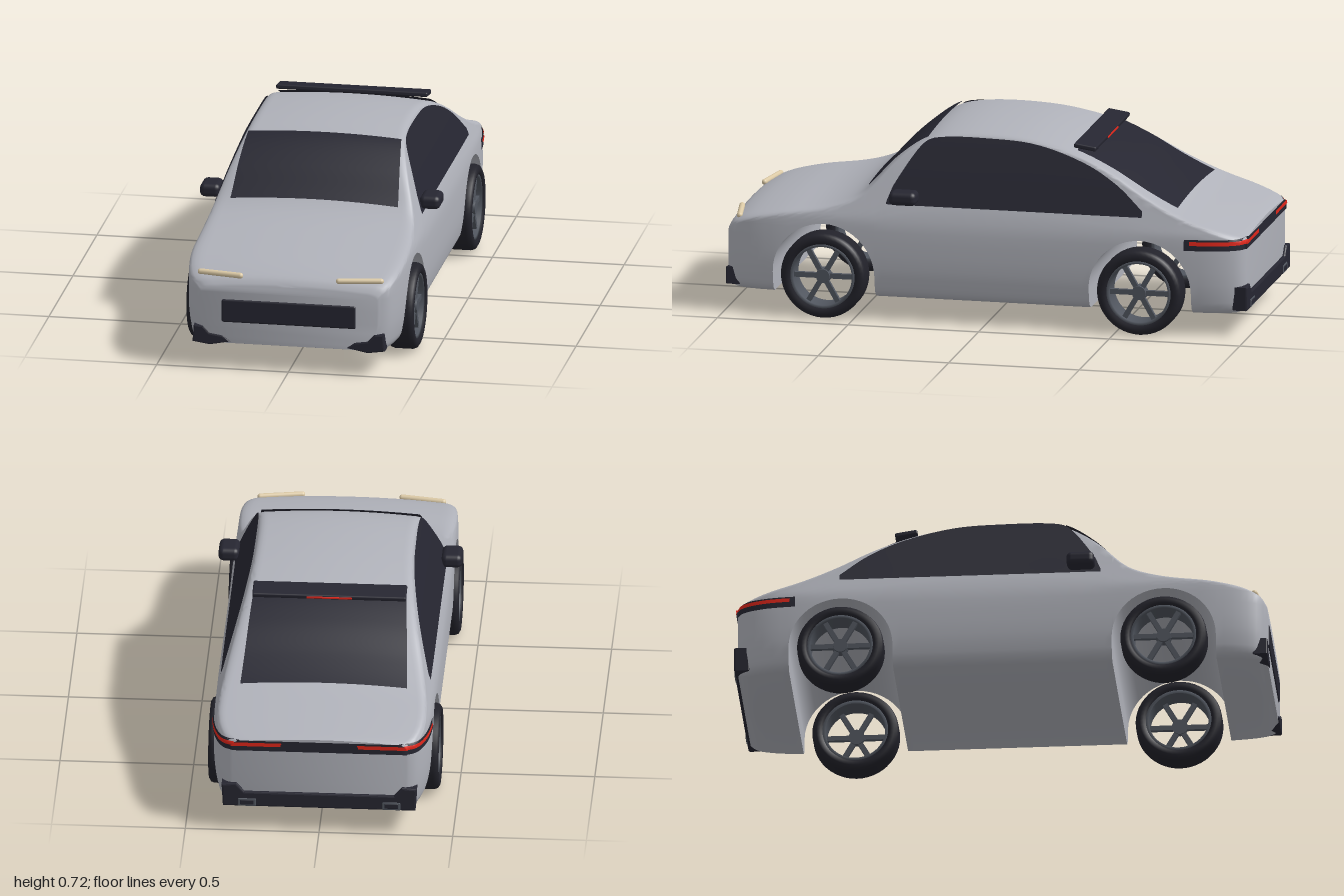
import * as THREE from 'three';
import { toCreasedNormals } from 'three/addons/utils/BufferGeometryUtils.js';
import { RoundedBoxGeometry } from 'three/addons/geometries/RoundedBoxGeometry.js';
import { ParametricGeometry } from 'three/addons/geometries/ParametricGeometry.js';

const material = (name, color) => {
  const m = new THREE.MeshStandardMaterial({ color, side: THREE.DoubleSide });
  m.name = name;
  return m;
};

// Smooth curve y(x) through a few sorted points
function spline(pts) {
  const n = pts.length;
  const slope = pts.map((p, i) => {
    const a = pts[Math.max(i - 1, 0)], b = pts[Math.min(i + 1, n - 1)];
    return (b[1] - a[1]) / (b[0] - a[0]);
  });
  return (x) => {
    x = Math.min(Math.max(x, pts[0][0]), pts[n - 1][0]);
    let i = 0;
    while (i < n - 2 && x > pts[i + 1][0]) i++;
    const [x0, y0] = pts[i], [x1, y1] = pts[i + 1], h = x1 - x0, t = (x - x0) / h;
    const t2 = t * t, t3 = t2 * t;
    return y0 * (2 * t3 - 3 * t2 + 1) + y1 * (3 * t2 - 2 * t3)
      + h * (slope[i] * (t3 - 2 * t2 + t) + slope[i + 1] * (t3 - t2));
  };
}

// Body rules: roof line, plan width, side taper, top corner size and floor along z
const REAR = -0.985, NOSE = 0.995, CROWN = 0.012;
const roof = spline([[-0.985, 0.383], [-0.97, 0.39], [-0.875, 0.422], [-0.74, 0.468], [-0.61, 0.53], [-0.475, 0.607],
  [-0.34, 0.666], [-0.18, 0.706], [-0.02, 0.72], [0.14, 0.715], [0.25, 0.688], [0.36, 0.61], [0.46, 0.505],
  [0.52, 0.468], [0.625, 0.437], [0.785, 0.413], [0.9, 0.388], [0.96, 0.365], [0.98, 0.352], [0.995, 0.33]]);
const plan = spline([[-0.985, 0.325], [-0.97, 0.352], [-0.93, 0.378], [-0.85, 0.4], [-0.7, 0.41], [0, 0.412],
  [0.75, 0.411], [0.86, 0.403], [0.93, 0.388], [0.97, 0.368], [0.995, 0.335]]);
const taper = spline([[0.085, 0.89], [0.1, 0.945], [0.13, 0.972], [0.2, 0.996], [0.3, 1], [0.38, 0.99],
  [0.42, 0.96], [0.45, 0.934], [0.57, 0.83], [0.69, 0.715], [0.72, 0.68]]);
const cornerX = spline([[-1, 0.03], [-0.6, 0.04], [0.3, 0.04], [0.7, 0.06], [1, 0.06]]);
const floorY = spline([[-0.985, 0.1], [-0.94, 0.085], [0.94, 0.085], [0.995, 0.1]]);
const CORNER_Y = 0.032;
const sideX = (y, z) => plan(z) * taper(y);
function skinX(y, z) {
  const y0 = roof(z) - CORNER_Y;
  if (y <= y0) return sideX(y, z);
  const s = Math.min((y - y0) / (CORNER_Y - CROWN), 1);
  return sideX(y0, z) - cornerX(z) * (1 - Math.sqrt(1 - s * s));
}

const WHEEL_Z = [-0.595, 0.615], ARCH_R = 0.195, ARCH_Y = 0.165;

// Half outline of the body at one station, bottom centre to top centre
function halfRing(z, bottom) {
  const top = roof(z), yt = top - CORNER_Y, pts = [[0, bottom]];
  const clamp = (y) => Math.min(Math.max(y, bottom), yt);
  for (const k of [0.085, 0.092, 0.1, 0.115, 0.13, 0.165, 0.2, 0.25, 0.3]) pts.push([sideX(clamp(k), z), clamp(k)]);
  const y0 = clamp(0.34);
  for (let i = 0; i <= 7; i++) {
    const y = y0 + (yt - y0) * i / 7;
    pts.push([sideX(y, z), y]);
  }
  const x0 = sideX(yt, z), rx = cornerX(z);
  for (let i = 1; i <= 5; i++) {
    const a = i * Math.PI / 10;
    pts.push([x0 - rx * (1 - Math.cos(a)), yt + (CORNER_Y - CROWN) * Math.sin(a)]);
  }
  for (let i = 5; i >= 0; i--) pts.push([(x0 - rx) * i / 6, top - CROWN * (i / 6) ** 2]);
  return pts;
}

// Loft with the two wheel arches cut straight through
function bodyGeometry() {
  const stations = [];
  const plain = (z) => stations.push([z, floorY(z)]);
  const span = (a, b, n) => { for (let i = 0; i <= n; i++) plain(a + (b - a) * i / n); };
  const arch = (c) => {
    for (let i = 0; i <= 24; i++) {
      const a = i * Math.PI / 24;
      stations.push([c - ARCH_R * Math.cos(a), ARCH_Y + ARCH_R * Math.sin(a)]);
    }
  };
  [REAR, -0.98, -0.973, -0.96, -0.945, -0.92, -0.89, -0.85, -0.82].forEach(plain);
  plain(WHEEL_Z[0] - ARCH_R);
  arch(WHEEL_Z[0]);
  span(WHEEL_Z[0] + ARCH_R, WHEEL_Z[1] - ARCH_R, 32);
  arch(WHEEL_Z[1]);
  plain(WHEEL_Z[1] + ARCH_R);
  [0.84, 0.87, 0.9, 0.925, 0.945, 0.96, 0.973, 0.983, 0.99, NOSE].forEach(plain);

  const pos = [], index = [];
  let n = 0, m = 0;
  for (const [z, b] of stations) {
    const half = halfRing(z, b);
    n = half.length - 1;
    m = 2 * n;
    for (const [x, y] of half) pos.push(x, y, z);
    for (let i = n - 1; i > 0; i--) pos.push(-half[i][0], half[i][1], z);
  }
  for (let j = 0; j < stations.length - 1; j++) for (let i = 0; i < m; i++) {
    const a = j * m + i, b = j * m + (i + 1) % m, c = b + m, d = a + m;
    index.push(a, b, d, b, c, d);
  }
  const last = (stations.length - 1) * m;
  for (let i = 0; i < n; i++) {
    const a = i, b = i + 1, c = (m - i - 1) % m, d = (m - i) % m;
    index.push(last + a, last + b, last + c, last + a, last + c, last + d, a, c, b, a, d, c);
  }
  const g = new THREE.BufferGeometry();
  g.setAttribute('position', new THREE.Float32BufferAttribute(pos, 3));
  g.setIndex(index);
  return toCreasedNormals(g, 0.75);
}

export function createModel() {
  const car = new THREE.Group();
  car.name = 'car';
  const paint = material('silver paint', 0xb0b2ba);
  const black = material('black trim and glass', 0x262631);
  const rubber = material('tyre rubber', 0x22222a);
  const metal = material('wheel metal', 0x50555e);
  const lamp = material('headlight cream', 0xdccaa6);
  const red = material('tail light red', 0xe0261a);
  const add = (name, geometry, mat, parent = car) => {
    const mesh = new THREE.Mesh(geometry, mat);
    mesh.name = name;
    parent.add(mesh);
    return mesh;
  };
  const patch = (name, mat, nu, nv, fn) =>
    add(name, new ParametricGeometry((u, v, p) => p.set(...fn(u, v)), nu, nv), mat);
  const box = (name, mat, w, h, d, x, y, z, r = 0.01) => {
    const mesh = add(name, new RoundedBoxGeometry(w, h, d, 3, r), mat);
    mesh.position.set(x, y, z);
    return mesh;
  };
  const slab = (name, pts, z, depth) => {
    const shape = new THREE.Shape(pts.map((p) => new THREE.Vector2(...p)));
    const b = 0.006;
    add(name, new THREE.ExtrudeGeometry(shape, { depth: depth - 2 * b, bevelSize: b, bevelThickness: b, bevelOffset: -b, bevelSegments: 2 }), black)
      .position.z = z + b;
  };

  add('body', bodyGeometry(), paint);

  // Windscreen and rear window follow the roof line
  const screen = (name, z0, w0, z1, w1) => patch(name, black, 16, 20, (u, v) => {
    const z = z0 + (z1 - z0) * v, x = (w0 + (w1 - w0) * v) * (2 * u - 1);
    return [x, roof(z) - CROWN * (x / 0.3) ** 2 + 0.007, z];
  });
  screen('windscreen', 0.465, 0.318, 0.24, 0.29);
  screen('rearWindow', -0.72, 0.312, -0.33, 0.285);

  // Side windows, mirrors, lights and front corner trims on both sides
  const windowTop = spline([[-0.6, 0.468], [-0.5, 0.553], [-0.37, 0.625], [-0.18, 0.682], [0, 0.695], [0.2, 0.69],
    [0.26, 0.66], [0.365, 0.497], [0.378, 0.455]]);
  for (const s of [1, -1]) {
    const side = s > 0 ? 'left' : 'right';
    patch(side + 'SideWindow', black, 48, 10, (u, v) => {
      const z = -0.6 + 0.978 * u, y = 0.445 + (windowTop(z) - 0.445) * v;
      return [s * (sideX(y, z) + 0.007), y, z];
    });
    box(side + 'Mirror', black, 0.078, 0.052, 0.105, s * 0.417, 0.48, 0.305, 0.02);
    const a = new THREE.Vector3(s * 0.187, 0.36, 0.976), b = new THREE.Vector3(s * 0.342, 0.36, 0.95);
    const light = add(side + 'Headlight', new THREE.CapsuleGeometry(0.011, a.distanceTo(b), 6, 12), lamp);
    light.position.copy(a).lerp(b, 0.5);
    light.quaternion.setFromUnitVectors(new THREE.Vector3(0, 1, 0), b.clone().sub(a).normalize());
    slab(side + 'FrontCornerTrim', [[0.22, 0.106], [0.25, 0.128], [0.3, 0.136], [0.325, 0.163], [0.36, 0.165],
      [0.365, 0.1], [0.3, 0.09]].map(([x, y]) => [s * x, y]), 0.942, 0.058);
    box(side + 'ExhaustFrame', metal, 0.07, 0.034, 0.02, s * 0.27, 0.118, -0.989, 0.005);
    box(side + 'ExhaustOutlet', black, 0.052, 0.02, 0.008, s * 0.27, 0.118, -0.9965, 0.003);
  }

  box('grille', black, 0.51, 0.09, 0.02, 0, 0.226, 0.99, 0.008);

  // Rear bumper with taller ends
  slab('rearBumper', [[-0.36, 0.1], [0.36, 0.1], [0.365, 0.19], [0.31, 0.195], [0.28, 0.16],
    [-0.28, 0.16], [-0.31, 0.195], [-0.365, 0.19]], -0.997, 0.058);

  // Roof spoiler with brake light
  box('spoiler', black, 0.575, 0.018, 0.085, 0, 0.677, -0.358, 0.006).rotation.x = -0.15;
  box('brakeLight', red, 0.17, 0.008, 0.006, 0, 0.671, -0.4, 0.002);

  // Tail light bands wrapping around the rear corners
  const band = (name, mat, y0, y1, offset, u0, u1, zEnd) => patch(name, mat, 60, 3, (u, v) => {
    const w = u0 + (u1 - u0) * u, t = Math.abs(w), s = Math.sign(w), y = y0 + (y1 - y0) * v;
    if (t < 0.5) return [s * t * 2 * (skinX(y, REAR) + offset), y, REAR - offset];
    const z = REAR - offset + (zEnd - REAR + offset) * (2 * t - 1) ** 2;
    return [s * (skinX(y, z) + offset), y, z];
  });
  band('tailBand', black, 0.332, 0.374, 0.004, -1, 1, -0.765);
  band('leftTailLight', red, 0.352, 0.367, 0.007, 0.22, 1, -0.785);
  band('rightTailLight', red, 0.352, 0.367, 0.007, -1, -0.22, -0.785);

  // Wheels: tyre, open rim, six spokes and hub, axis along x
  const lathe = (pts) => new THREE.LatheGeometry(pts.map((p) => new THREE.Vector2(...p)), 48);
  const tyre = lathe([[0.122, -0.045], [0.13, -0.052], [0.145, -0.053], [0.157, -0.046], [0.162, -0.032], [0.162, 0.032],
    [0.157, 0.046], [0.145, 0.053], [0.13, 0.052], [0.122, 0.045], [0.122, -0.045]]);
  const rim = lathe([[0.112, -0.044], [0.124, -0.046], [0.124, 0.046], [0.112, 0.044], [0.112, -0.044]]);
  const spoke = new THREE.BoxGeometry(0.1, 0.016, 0.019).translate(0.067, 0, 0);
  for (const s of [1, -1]) WHEEL_Z.forEach((z, k) => {
    const wheel = new THREE.Group();
    wheel.name = (s > 0 ? 'left' : 'right') + (k ? 'Front' : 'Rear') + 'Wheel';
    wheel.position.set(s * 0.378, 0.162, z);
    wheel.rotation.z = -s * Math.PI / 2;
    add('tyre', tyre, rubber, wheel);
    add('rim', rim, metal, wheel);
    add('hub', new THREE.CylinderGeometry(0.026, 0.03, 0.03, 24), metal, wheel).position.y = 0.028;
    for (let i = 0; i < 6; i++) {
      const arm = add('spoke', spoke, metal, wheel);
      arm.position.y = 0.028;
      arm.rotation.y = i * Math.PI / 3 + Math.PI / 2;
    }
    car.add(wheel);
  });
  return car;
}
